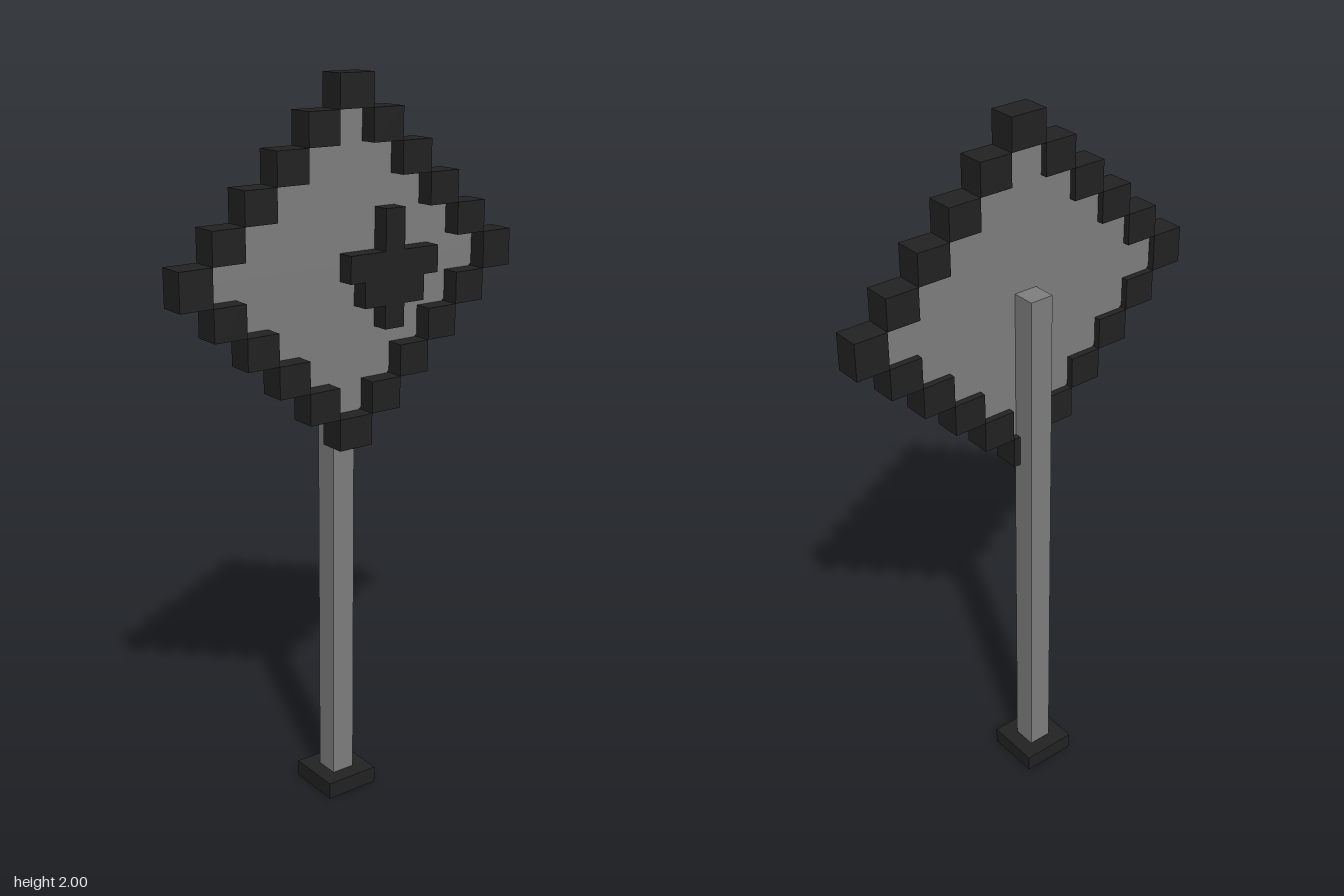
import * as THREE from 'three';

export function createModel() {
  const model = new THREE.Group();
  const dark = new THREE.MeshStandardMaterial({ color: 0x222222 });
  dark.name = 'charcoal';
  const grey = new THREE.MeshStandardMaterial({ color: 0x7f7f7f });
  grey.name = 'grey';

  // Box given by its minimum and maximum corners
  function box(name, material, [x0, y0, z0], [x1, y1, z1], parent = model) {
    const mesh = new THREE.Mesh(new THREE.BoxGeometry(x1 - x0, y1 - y0, z1 - z0), material);
    mesh.position.set((x0 + x1) / 2, (y0 + y1) / 2, (z0 + z1) / 2);
    mesh.name = name;
    parent.add(mesh);
  }
  const square = (Type, r) => {
    const path = new Type();
    path.moveTo(-r, -r).lineTo(r, -r).lineTo(r, r).lineTo(-r, r).closePath();
    return path;
  };

  // Base: square collar with an open socket underneath
  const collar = square(THREE.Shape, 0.079);
  collar.holes.push(square(THREE.Path, 0.034));
  const baseGeometry = new THREE.ExtrudeGeometry(collar, { depth: 0.047, bevelEnabled: false });
  baseGeometry.rotateX(-Math.PI / 2);
  const base = new THREE.Mesh(baseGeometry, dark);
  base.name = 'base';
  base.position.set(-0.003, 0, -0.004);
  model.add(base);

  // Post, seated part way into the base
  box('post', grey, [-0.037, 0.03, -0.038], [0.031, 1.536, 0.03]);

  // Diamond panel
  const cy = 1.519;
  const diamond = new THREE.Shape();
  diamond.moveTo(0.47, cy).lineTo(0, cy + 0.437).lineTo(-0.47, cy).lineTo(0, cy - 0.437).closePath();
  const panel = new THREE.Mesh(
    new THREE.ExtrudeGeometry(diamond, { depth: 0.006, bevelEnabled: false }), grey);
  panel.name = 'panel';
  panel.position.z = 0.026;
  model.add(panel);

  // Stepped frame: blocks run corner to corner around the diamond
  const frame = new THREE.Group();
  frame.name = 'frame';
  model.add(frame);
  const stepX = 0.093, stepY = 0.0862, halfX = 0.052, halfY = 0.05;
  for (let i = 0; i <= 5; i++) {
    const j = 5 - i;
    // the middle column and the middle row are slightly larger
    const x0 = i ? halfX + (i - 1) * stepX : -halfX;
    const x1 = halfX + i * stepX;
    const y0 = j ? halfY + (j - 1) * stepY : -halfY;
    const y1 = halfY + j * stepY;
    for (const sx of i ? [1, -1] : [1]) {
      for (const sy of j ? [1, -1] : [1]) {
        const xs = [sx * x0, sx * x1].sort((a, b) => a - b);
        const ys = [cy + sy * y0, cy + sy * y1].sort((a, b) => a - b);
        box('frameBlock', dark, [xs[0], ys[0], 0.007], [xs[1], ys[1], 0.083], frame);
      }
    }
  }

  // Raised stepped emblem on the front of the panel
  const c = 0.125, front = 0.081, back = 0.032;
  const emblem = new THREE.Shape();
  const half = [[0.031, 1.345], [0.031, 1.408], [0.096, 1.408], [0.096, 1.477],
    [0.142, 1.477], [0.142, 1.55], [0.031, 1.55], [0.031, 1.66]];
  const outline = [...half.map(([x, y]) => [c + x, y]), ...half.map(([x, y]) => [c - x, y]).reverse()];
  emblem.setFromPoints(outline.map(([x, y]) => new THREE.Vector2(x, y)));
  const emblemMesh = new THREE.Mesh(
    new THREE.ExtrudeGeometry(emblem, { depth: front - back, bevelEnabled: false }), dark);
  emblemMesh.name = 'emblem';
  emblemMesh.position.z = back;
  model.add(emblemMesh);

  return model;
}
